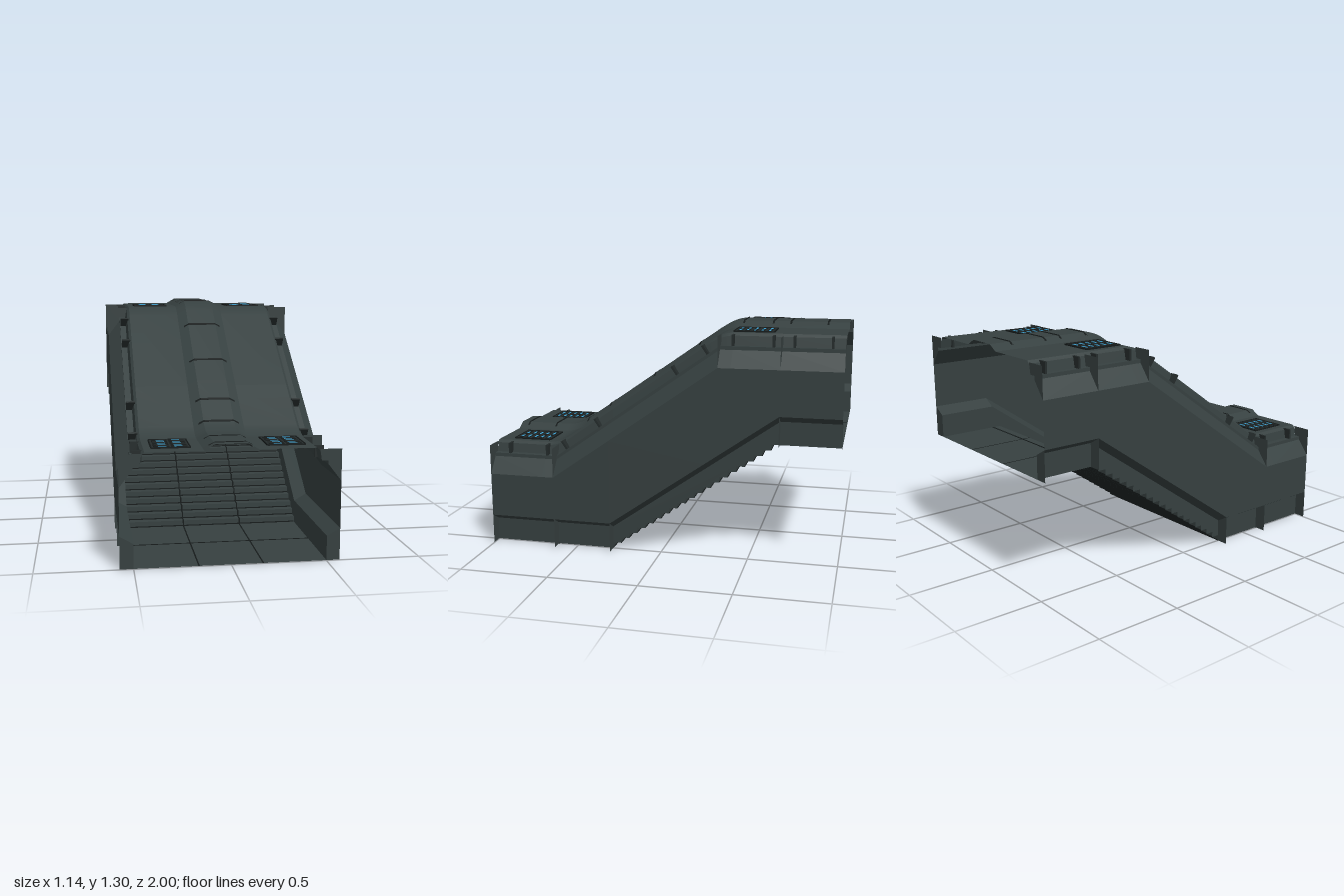
import * as THREE from 'three';
import { toCreasedNormals } from 'three/addons/utils/BufferGeometryUtils.js';

const mat = (name, color) => new THREE.MeshStandardMaterial({ name, color, side: THREE.DoubleSide });
const RISE = 0.667, RUN = 0.952, STEPS = 20;
const LOW = 0.285, HIGH = 0.62; // z where the floor and the ceiling start to climb

// height gained along the corridor; w rounds the bends
const ramp = (t, w) => (t <= -w ? 0 : t >= w ? t : (t + w) ** 2 / (4 * w));
const lift = (z, start, w = 0) => (RISE / RUN) * (ramp(start - z, w) - ramp(start - RUN - z, w));
const lifts = {
  low: z => lift(z, LOW),
  high: z => lift(z, HIGH),
  soft: z => lift(z, HIGH, 0.07),
};

// surface through rows of points
function grid(rows) {
  const pos = [], index = [], n = rows[0].length;
  rows.forEach(r => r.forEach(p => pos.push(...p)));
  for (let i = 0; i < rows.length - 1; i++) {
    for (let j = 0; j < n - 1; j++) {
      const a = i * n + j, b = a + n;
      index.push(a, b, a + 1, b, b + 1, a + 1);
    }
  }
  const g = new THREE.BufferGeometry();
  g.setAttribute('position', new THREE.Float32BufferAttribute(pos, 3));
  g.setIndex(index);
  return toCreasedNormals(g, 0.3);
}

export function createModel() {
  const model = new THREE.Group();
  model.name = 'stairCorridor';
  const hull = mat('hull grey', 0x364040);
  const dark = mat('seam black', 0x151a1a);
  const vent = mat('vent dark grey', 0x242b2b);
  const blue = mat('light blue', 0x3fa9dc);

  const add = (name, geo, material, parent = model) => {
    const m = new THREE.Mesh(geo, material);
    m.name = name;
    parent.add(m);
    return m;
  };
  const box = (name, size, at, material, parent) => {
    const m = add(name, new THREE.BoxGeometry(...size), material, parent);
    m.position.set(...at);
    return m;
  };

  // stations along z, denser at the rounded bends
  const stations = [1, HIGH, LOW, HIGH - RUN, LOW - RUN, -1];
  for (const bend of [HIGH, HIGH - RUN]) {
    for (const d of [0.07, 0.047, 0.023]) stations.push(bend + d, bend - d);
  }
  stations.sort((a, b) => b - a);
  const sweep = profile => grid(stations.map(z => profile.map(([x, y, k]) => [x, y + lifts[k](z), z])));

  // floor and stairs in three lanes with seams between
  const steps = [[1, 0]];
  for (let i = 0; i < STEPS; i++) {
    const z = LOW - (i * RUN) / STEPS;
    steps.push([z, (i * RISE) / STEPS], [z, ((i + 1) * RISE) / STEPS]);
  }
  steps.push([-1, RISE]);
  const lane = (x0, x1) => grid(steps.map(([z, y]) => [[x0, y, z], [x1, y, z]]));
  const s = 0.004, q = 0.167;
  for (const [a, b] of [[-0.5, -q - s], [-q + s, q - s], [q + s, 0.5]]) add('floorLane', lane(a, b), hull);
  for (const x of [-q, q]) add('floorSeam', lane(x - s, x + s), dark);
  for (const [z, y] of [[0.62, 0], [-0.667, RISE]]) box('floorCrossSeam', [1, 0.004, 0.008], [0, y, z], dark);
  for (let i = 0; i < STEPS; i++) {
    box('stepEdge', [0.998, 0.006, 0.004], [0, (i * RISE) / STEPS + 0.003, LOW - (i * RUN) / STEPS], dark);
  }

  // roof with its raised middle spine
  add('roof', sweep([[-0.455, 0.582, 'soft'], [-0.44, 0.597, 'soft'], [-0.14, 0.597, 'soft'],
    [-0.085, 0.629, 'soft'], [0.085, 0.629, 'soft'], [0.14, 0.597, 'soft'],
    [0.44, 0.597, 'soft'], [0.455, 0.582, 'soft']]), hull);

  // thin ribs across the spine
  for (const z of [0.95, 0.77, 0.56, 0.415, 0.135, -0.14, -0.4, -0.57, -0.67, -0.88]) {
    const half = 0.005;
    const path = [[-0.112, 0.609], [-0.08, 0.625], [0.08, 0.625], [0.112, 0.609]];
    const edge = (dz, dy) => path.map(([x, y]) => [x, y + dy + lifts.soft(z + dz), z + dz]);
    add('spineRib', grid([edge(half, 0.007), edge(half, -0.008), edge(-half, -0.008),
      edge(-half, 0.007), edge(half, 0.007)]), dark);
  }

  // fin outlines in x and y
  const topFin = [[0.57, 0.42], [0.57, 0.59], [0.455, 0.59], [0.465, 0.53], [0.5, 0.53], [0.5, 0.51]];
  const baseFin = [[0.5, 0], [0.57, 0], [0.57, 0.17], [0.5, 0.13]];

  for (const side of [1, -1]) {
    const half = new THREE.Group();
    half.name = side > 0 ? 'leftSide' : 'rightSide';
    model.add(half);

    // bulging wall and the channel beside the roof
    add('wall', sweep([[0.5, 0.13, 'low'], [0.57, 0.17, 'low'], [0.57, 0.42, 'high'], [0.5, 0.51, 'high'],
      [0.5, 0.53, 'high']].map(([x, y, k]) => [x * side, y, k])), hull, half);
    add('roofChannel', sweep([[0.5, 0.53, 'high'], [0.465, 0.53, 'soft'], [0.455, 0.582, 'soft']]
      .map(([x, y, k]) => [x * side, y, k])), hull, half);

    // skirting that follows the steps
    const outline = [...steps, [-1, RISE + 0.13], [LOW - RUN, RISE + 0.13], [LOW, 0.13], [1, 0.13]];
    const skirt = new THREE.ShapeGeometry(new THREE.Shape(outline.map(p => new THREE.Vector2(...p))));
    skirt.rotateY(-Math.PI / 2).translate(0.5 * side, 0, 0);
    add('skirting', skirt, hull, half);

    // flat frame fins
    const fin = (name, pts, z, y) => {
      const shape = new THREE.Shape(pts.map(([x, h]) => new THREE.Vector2(x * side, h)));
      add(name, new THREE.ShapeGeometry(shape), hull, half).position.set(0, y, z);
    };
    for (const z of [1, HIGH, HIGH - RUN, LOW - RUN, -1]) fin('upperFin', topFin, z, lifts.high(z));
    for (const z of [1, HIGH, LOW, LOW - RUN, -1]) fin('lowerFin', baseFin, z, lifts.low(z));

    // clips across the channel, tilted on the slope
    for (const z of [0.91, 0.68, 0.57, 0.37, -0.08, -0.25, -0.4, -0.62, -0.73, -0.93]) {
      const clip = box('channelClip', [0.05, 0.062, 0.012], [0.473 * side, 0.56 + lifts.high(z), z], vent, half);
      if (z < HIGH && z > HIGH - RUN) clip.rotation.x = Math.atan2(RISE, RUN);
    }

    // light panels in the flat roof sections, seen from above and below
    for (const z of [0.805, -0.5]) {
      const panel = new THREE.Group();
      panel.name = 'lightPanel';
      panel.position.set(0.3 * side, 0.597 + lifts.soft(z), z);
      half.add(panel);
      box('panelPlate', [0.2, 0.008, 0.22], [0, 0, 0], vent, panel);
      for (const x of [-0.1, 0.1]) box('panelFrame', [0.006, 0.014, 0.22], [x, 0, 0], dark, panel);
      for (const e of [-0.11, 0.11]) box('panelFrame', [0.2, 0.014, 0.006], [0, 0, e], dark, panel);
      for (let row = -2; row <= 2; row++) {
        for (const x of [-0.046, 0.046]) {
          box('louvre', [0.082, 0.011, 0.024], [x, 0, row * 0.041], dark, panel);
          box('lamp', [0.042, 0.014, 0.011], [x * 0.9, 0, row * 0.041], blue, panel);
        }
      }
    }
  }
  return model;
}
